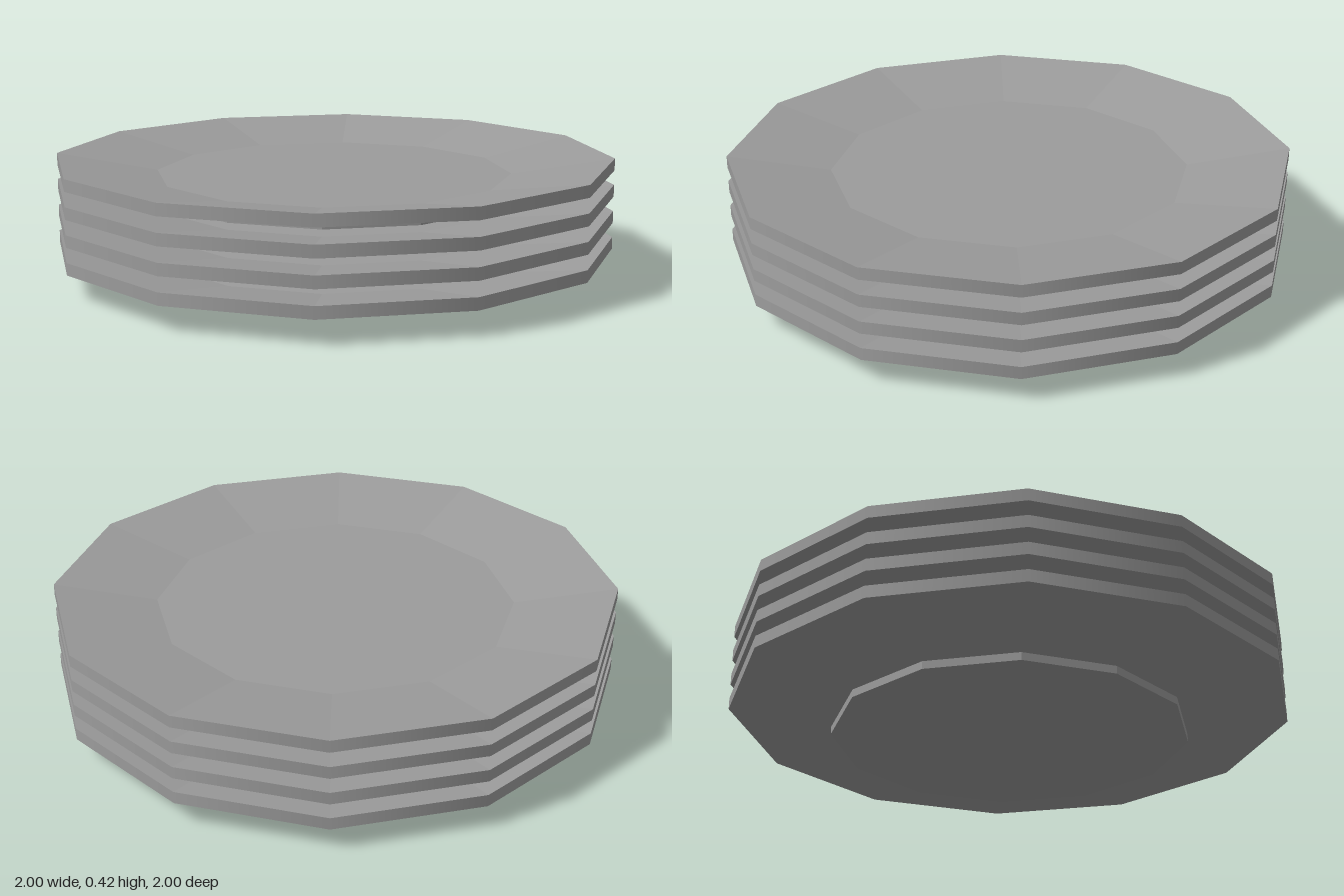
import * as THREE from 'three';
import { mergeGeometries } from 'three/addons/utils/BufferGeometryUtils.js';

const SIDES = 12;
const PLATES = 4;
const PITCH = 0.0953;

// Plate profile [radius, height], from the centre of the base round to the centre of the well
const PROFILE = [
  [0, 0], [0.635, 0], [0.635, 0.028], [1, 0.087], [1, 0.13], [0.635, 0.072], [0, 0.072],
];
const RIM_BAND = 3; // the outer rim is smooth, the other bands are faceted

// One band of the profile, with hard edges towards its neighbours
function band(i) {
  const points = [PROFILE[i], PROFILE[i + 1]].map(([r, y]) => new THREE.Vector2(r, y));
  const geometry = new THREE.LatheGeometry(points, SIDES).toNonIndexed();
  if (i === RIM_BAND) geometry.normalizeNormals();
  else geometry.computeVertexNormals();
  return geometry;
}

export function createModel() {
  const group = new THREE.Group();
  group.name = 'plateStack';
  const material = new THREE.MeshStandardMaterial({ color: 0x9c9c9c });

  const bands = [];
  for (let i = 0; i < PROFILE.length - 1; i++) bands.push(band(i));
  const plateGeometry = mergeGeometries(bands);

  // Identical plates stacked upwards
  for (let i = 0; i < PLATES; i++) {
    const plate = new THREE.Mesh(plateGeometry, material);
    plate.name = `plate${i + 1}`;
    plate.position.y = i * PITCH;
    group.add(plate);
  }
  return group;
}
